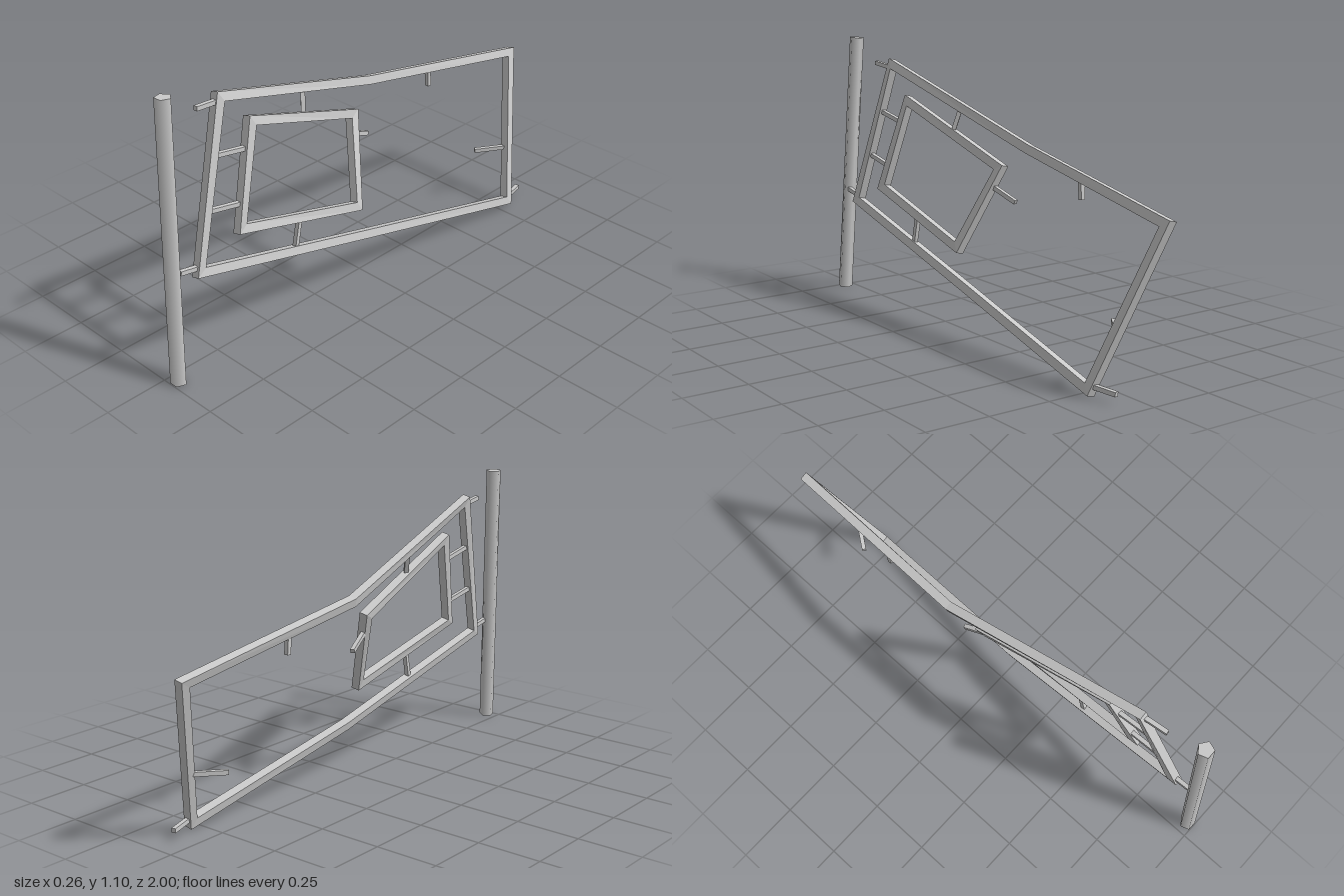
import * as THREE from 'three';

const V = (a) => new THREE.Vector3(...a);
const material = new THREE.MeshStandardMaterial({ color: 0xcccccc, flatShading: true });
const smooth = new THREE.MeshStandardMaterial({ color: 0xcccccc });

// Closed loop of square bars with mitred corners
function frameGeometry(list, width) {
  const pts = list.map(V), n = pts.length, h = width / 2;
  const normal = new THREE.Vector3();
  pts.forEach((p, i) => normal.add(p.clone().cross(pts[(i + 1) % n])));
  normal.normalize();
  const side = pts.map((p, i) => normal.clone().cross(pts[(i + 1) % n].clone().sub(p)).normalize());
  const rings = pts.map((p, i) => {
    const a = side[(i + n - 1) % n], b = side[i];
    const m = a.clone().add(b).multiplyScalar(h / (1 + a.dot(b)));
    return [[1, 1], [-1, 1], [-1, -1], [1, -1]].map(([s, t]) =>
      p.clone().addScaledVector(m, s).addScaledVector(normal, t * h));
  });
  const pos = [];
  rings.forEach((r, i) => {
    const q = rings[(i + 1) % n];
    for (let k = 0; k < 4; k++) {
      const j = (k + 1) % 4;
      for (const v of [r[k], r[j], q[j], r[k], q[j], q[k]]) pos.push(v.x, v.y, v.z);
    }
  });
  const g = new THREE.BufferGeometry();
  g.setAttribute('position', new THREE.Float32BufferAttribute(pos, 3));
  g.computeVertexNormals();
  return g;
}

// Square peg between two points
function peg(name, from, to, size = 0.017) {
  const a = V(from), b = V(to);
  const mesh = new THREE.Mesh(new THREE.BoxGeometry(size, size, a.distanceTo(b)), material);
  mesh.position.copy(a).add(b).multiplyScalar(0.5);
  mesh.lookAt(b);
  mesh.name = name;
  return mesh;
}

export function createModel() {
  const group = new THREE.Group();
  group.name = 'gate';

  // Leaning five-sided pole
  const foot = V([0.049, 0.002, 0.973]), tip = V([0.003, 1.103, 0.915]);
  const poleGeometry = new THREE.CylinderGeometry(0.031, 0.031, foot.distanceTo(tip), 5);
  const pole = new THREE.Mesh(poleGeometry.rotateY(Math.PI), smooth);
  pole.position.copy(foot).add(tip).multiplyScalar(0.5);
  pole.quaternion.setFromUnitVectors(new THREE.Vector3(0, 1, 0), tip.clone().sub(foot).normalize());
  pole.name = 'pole';
  group.add(pole);

  // Outer and inner frames
  const frames = {
    outerFrame: [[-0.022, 1.007, 0.665], [-0.11, 0.75, -0.16], [-0.06, 0.615, -0.977],
      [0.112, 0.027, -0.795], [0.06, 0.198, 0], [0.045, 0.41, 0.847]],
    innerFrame: [[-0.015, 0.868, 0.533], [-0.07, 0.665, -0.032], [0.056, 0.349, 0.072], [0.04, 0.497, 0.647]],
  };
  for (const [name, points] of Object.entries(frames)) {
    const mesh = new THREE.Mesh(frameGeometry(points, 0.034), material);
    mesh.name = name;
    group.add(mesh);
  }

  // Hinge pegs, links between the frames, and loose stubs
  const pegs = [
    ['upperHinge', [-0.01, 1.005, 0.775], [-0.02, 0.992, 0.665]],
    ['lowerHinge', [0.043, 0.445, 0.93], [0.043, 0.428, 0.84]],
    ['frontLinkUpper', [0, 0.807, 0.725], [-0.003, 0.777, 0.57]],
    ['frontLinkLower', [0.022, 0.618, 0.785], [0.024, 0.588, 0.63]],
    ['topLink', [-0.065, 0.87, 0.23], [-0.042, 0.775, 0.25]],
    ['bottomLink', [0.05, 0.42, 0.37], [0.052, 0.3, 0.395]],
    ['innerStub', [-0.048, 0.59, -0.02], [-0.076, 0.545, -0.12]],
    ['topStub', [-0.09, 0.69, -0.49], [-0.09, 0.615, -0.496]],
    ['rearStub', [0.05, 0.24, -0.86], [-0.033, 0.235, -0.745]],
    ['rearHinge', [0.11, 0.043, -0.8], [0.085, 0.036, -0.905]],
  ];
  for (const p of pegs) group.add(peg(...p));
  return group;
}
